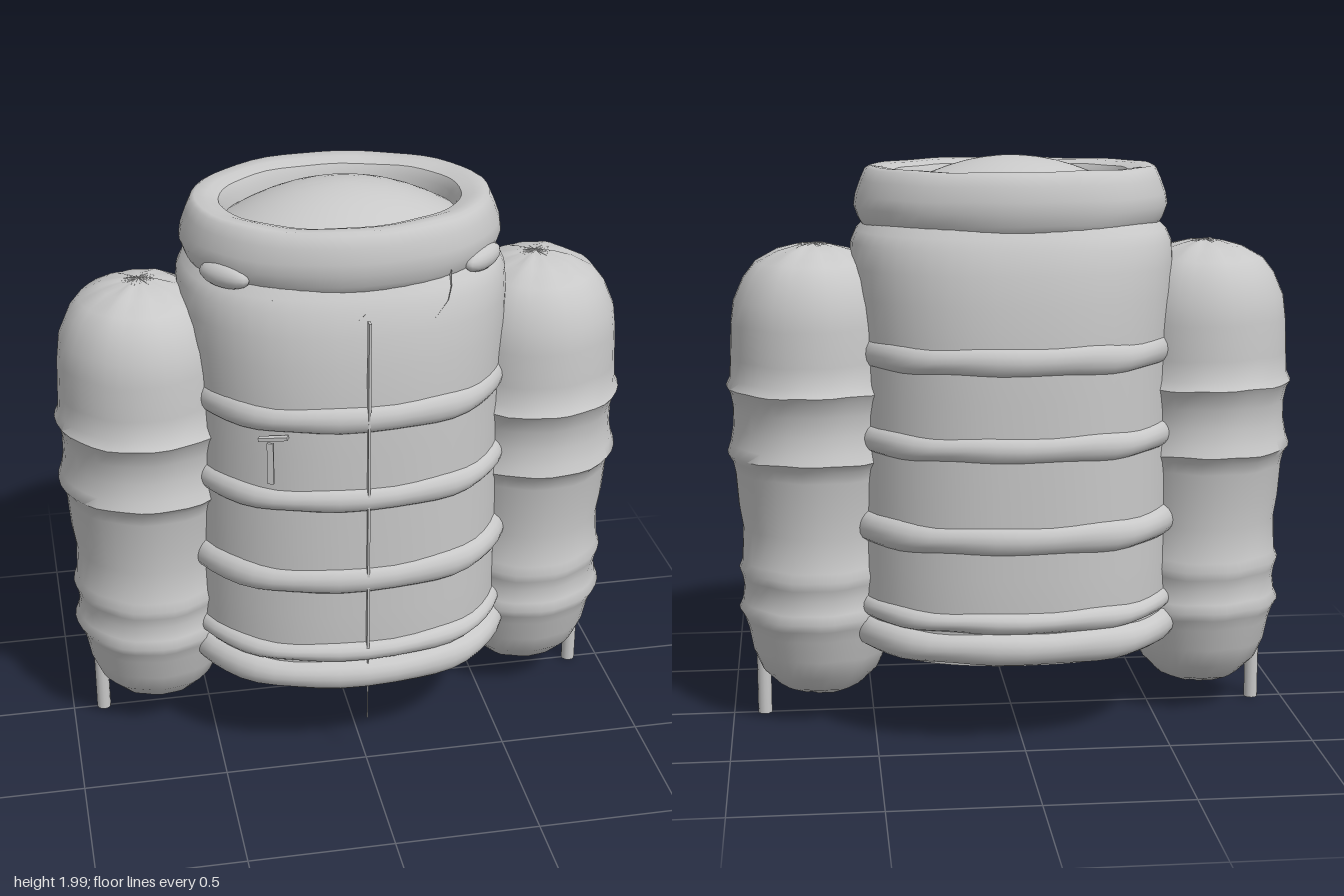
import * as THREE from 'three';
import { toCreasedNormals } from 'three/addons/utils/BufferGeometryUtils.js';

const grey = new THREE.MeshStandardMaterial({ color: 0xc8c8c8 });
grey.name = 'light grey fabric';

// Skin a grid of points (rows of equal length) and keep sharp folds crisp
function skin(rows, crease = 0.75) {
  const n = rows[0].length, index = [];
  for (let r = 0; r < rows.length - 1; r++) {
    for (let i = 0; i < n - 1; i++) {
      const a = r * n + i, b = a + n;
      index.push(a, b, a + 1, a + 1, b, b + 1);
    }
  }
  const g = new THREE.BufferGeometry();
  g.setAttribute('position', new THREE.Float32BufferAttribute(rows.flat(2), 3));
  g.setIndex(index);
  return toCreasedNormals(g, crease);
}

// Loft oval cross-sections [y, rx, rz]; power above 2 flattens the sides
function loft(profile, { power = 2, segments = 48, wobble = 0, crease } = {}) {
  const bend = (v) => Math.sign(v) * Math.abs(v) ** (2 / power);
  return skin(profile.map(([y, rx, rz], r) => {
    const row = [];
    for (let i = 0; i <= segments; i++) {
      const a = ((i % segments) / segments) * Math.PI * 2;
      const dy = wobble * Math.sin(7 * a + r * 0.4) * Math.cos(3 * a);
      row.push([rx * bend(Math.cos(a)), y + dy, rz * bend(Math.sin(a))]);
    }
    return row;
  }), crease);
}

function add(parent, name, geometry, x = 0, y = 0, z = 0) {
  const mesh = new THREE.Mesh(geometry, grey);
  mesh.name = name;
  mesh.position.set(x, y, z);
  parent.add(mesh);
  return mesh;
}

// Raised quilted ring, half-round in section
function bandGeometry(y, half, rx, rz) {
  const profile = [];
  for (let i = 0; i <= 8; i++) {
    const t = -Math.PI / 2 + (i / 8) * Math.PI;
    const inset = 0.05 * (1 - Math.cos(t));
    profile.push([y + half * Math.sin(t), rx - inset, rz - inset]);
  }
  return loft(profile, { power: 2.3, wobble: 0.006 });
}

// Two-lobed padded flap wrapped around the chest
function flapGeometry() {
  const edge = [[0, 1.695], [0.04, 1.665], [0.09, 1.625], [0.14, 1.612], [0.2, 1.628],
    [0.24, 1.66], [0.28, 1.7], [0.295, 1.74], [0.3, 1.79]];
  const columns = [...edge.slice(1).reverse().map(([x, y]) => [-x, y]), ...edge];
  return skin(columns.map(([x, low]) => {
    const loop = [], high = 1.81;
    const thick = 0.035 * Math.min(1, (high - low) / 0.1);
    for (let i = 0; i <= 12; i++) {
      const a = ((i % 12) / 12) * Math.PI * 2;
      const y = (high + low) / 2 + ((high - low) / 2) * Math.cos(a);
      const lean = 0.395 + (1.81 - y) * 0.36;
      const z = lean * Math.sqrt(1 - (x / 0.62) ** 2) + 0.01 + thick * Math.sin(a);
      loop.push([x, y, z]);
    }
    return loop;
  }), 1);
}

function createSleeve(side) {
  const sleeve = new THREE.Group();
  sleeve.name = side > 0 ? 'leftSleeve' : 'rightSleeve';
  // Padded sleeve from cuff to shoulder, with pleats
  add(sleeve, 'paddedSleeve', loft([
    [0.08, 0, 0], [0.09, 0.08, 0.08], [0.12, 0.15, 0.15], [0.18, 0.21, 0.21], [0.25, 0.24, 0.24],
    [0.33, 0.255, 0.262], [0.37, 0.268, 0.278], [0.4, 0.285, 0.292], [0.43, 0.272, 0.28],
    [0.48, 0.266, 0.27], [0.52, 0.272, 0.28], [0.55, 0.282, 0.288], [0.58, 0.27, 0.276],
    [0.7, 0.265, 0.268], [0.78, 0.278, 0.278], [0.9, 0.287, 0.288], [0.94, 0.296, 0.3],
    [0.965, 0.312, 0.322], [1.0, 0.3, 0.308], [1.06, 0.29, 0.296], [1.13, 0.29, 0.3],
    [1.18, 0.3, 0.318], [1.2, 0.312, 0.33], [1.23, 0.298, 0.306], [1.3, 0.295, 0.3],
    [1.42, 0.29, 0.297], [1.5, 0.28, 0.285], [1.58, 0.245, 0.25], [1.63, 0.205, 0.21],
    [1.67, 0.13, 0.135], [1.687, 0.06, 0.06], [1.692, 0, 0],
  ], { segments: 36, wobble: 0.004, crease: 1 }), side * 0.687);
  // Thin peg below the cuff
  add(sleeve, 'cuffPeg', new THREE.CylinderGeometry(0.025, 0.025, 0.28, 12), side * 0.89, 0.14, 0);
  return sleeve;
}

export function createModel() {
  const model = new THREE.Group();
  model.name = 'paddedJacket';

  // Body shell with a recessed underside
  add(model, 'body', loft([
    [0.335, 0, 0], [0.335, 0.5, 0.45], [0.3, 0.51, 0.46], [0.3, 0.55, 0.49], [0.42, 0.555, 0.5],
    [0.6, 0.55, 0.502], [0.9, 0.552, 0.503], [1.2, 0.545, 0.503], [1.4, 0.55, 0.498],
    [1.52, 0.56, 0.488], [1.62, 0.562, 0.473], [1.7, 0.558, 0.45], [1.74, 0.54, 0.428],
    [1.78, 0.5, 0.4],
  ], { power: 2.3 }));

  // Quilting bands and double hem
  const bands = [
    ['upperBand', 1.34, 0.055, 0.564, 0.523], ['middleBand', 1.045, 0.05, 0.574, 0.526],
    ['lowerBand', 0.735, 0.055, 0.588, 0.526], ['upperHem', 0.45, 0.04, 0.575, 0.53],
    ['lowerHem', 0.36, 0.055, 0.592, 0.543],
  ];
  for (const [name, ...size] of bands) add(model, name, bandGeometry(...size));

  // Thick collar, rolling over into the neck opening
  add(model, 'collar', loft([
    [1.74, 0.48, 0.39], [1.752, 0.515, 0.412], [1.78, 0.532, 0.425], [1.82, 0.546, 0.436],
    [1.86, 0.54, 0.436], [1.91, 0.522, 0.425], [1.948, 0.505, 0.41], [1.957, 0.49, 0.395],
    [1.953, 0.45, 0.35], [1.94, 0.41, 0.31], [1.91, 0.395, 0.295], [1.85, 0.39, 0.29],
  ], { power: 2.05, wobble: 0.003 }));

  // Domed filling of the neck
  const dome = [1, 0.85, 0.7, 0.55, 0.4, 0.25, 0.1, 0].map((t) => [1.99 - 0.12 * t * t, 0.4 * t, 0.3 * t]);
  add(model, 'neckDome', loft(dome));

  // Collar end tabs, front corners
  for (const side of [-1, 1]) {
    const tab = add(model, 'collarTab', new THREE.SphereGeometry(1, 16, 10), side * 0.43, 1.785, 0.255);
    tab.scale.set(0.1, 0.042, 0.04);
    tab.rotation.y = side * 0.8;
  }
  add(model, 'chestFlap', flapGeometry());

  // Front fastening and its dangling end
  add(model, 'zip', new THREE.BoxGeometry(0.008, 1.22, 0.03), 0, 1.08, 0.507);
  add(model, 'zipEnd', new THREE.BoxGeometry(0.004, 0.28, 0.004), 0, 0.32, 0.515);

  // Small chest pocket trim
  const trim = add(model, 'pocketTrim', new THREE.BoxGeometry(0.1, 0.012, 0.02), -0.31, 1.283, 0.462);
  trim.rotation.set(0, -0.42, 0.15);
  const tag = add(model, 'pocketTag', new THREE.BoxGeometry(0.022, 0.15, 0.009), -0.32, 1.19, 0.459);
  tag.rotation.y = -0.42;

  for (const side of [-1, 1]) model.add(createSleeve(side));
  return model;
}
